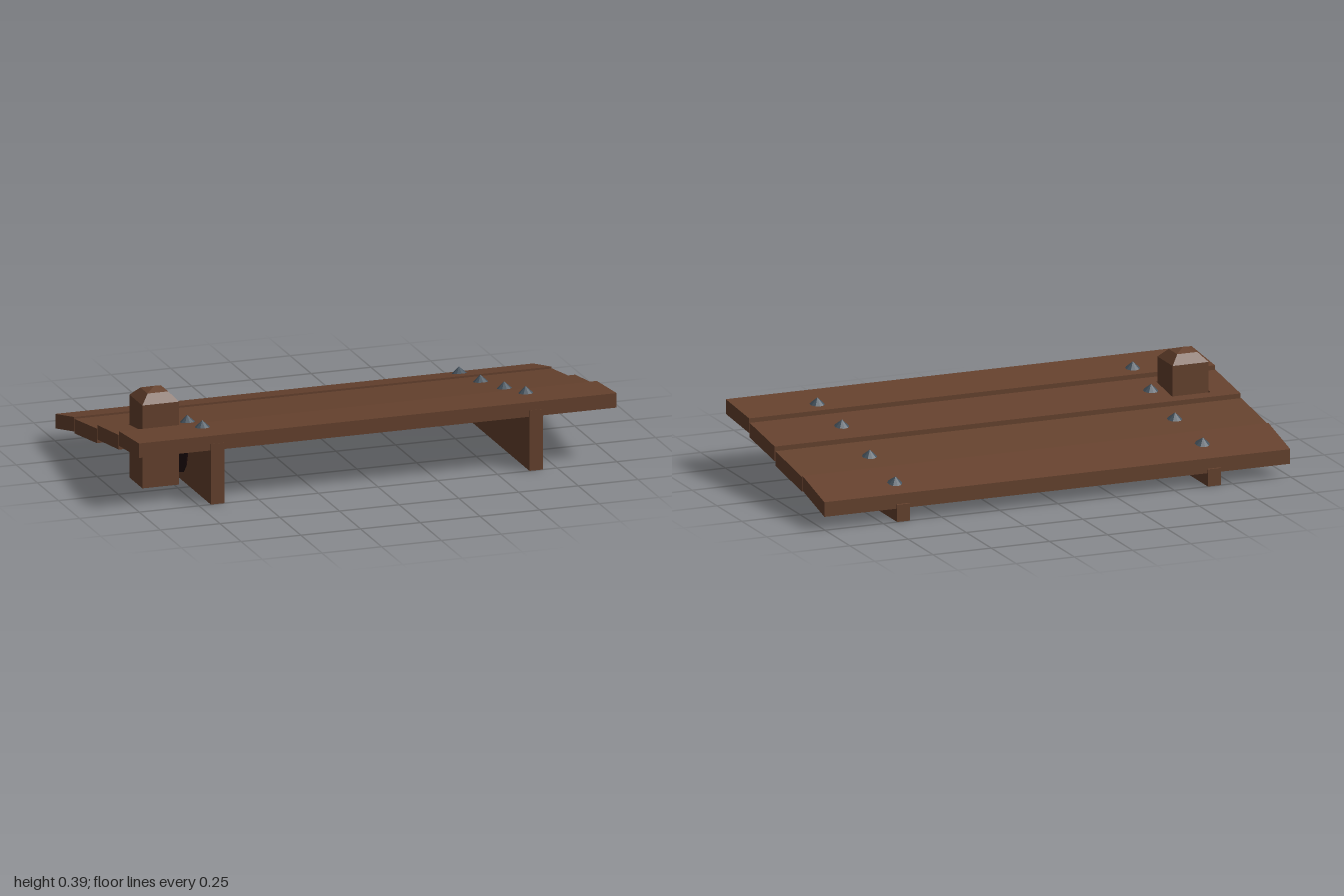
import * as THREE from 'three';

const wood = new THREE.MeshStandardMaterial({ color: 0x66422e });
wood.name = 'brownWood';
const iron = new THREE.MeshStandardMaterial({ color: 0x46535e });
iron.name = 'greyIron';
const stainRed = new THREE.MeshStandardMaterial({ color: 0x200c0e });
stainRed.name = 'darkRedStain';

// Planks: front z, back z, top height at the front, top height at the back
const PLANKS = [
  [0.497, 0.262, 0.283, 0.264],
  [0.257, 0.005, 0.247, 0.214],
  [-0.003, -0.268, 0.197, 0.159],
  [-0.274, -0.494, 0.165, 0.113],
];
const POST = { x: -0.807, z: 0.132, half: 0.077 };
const SUPPORTS = [-0.672, 0.662];
const SUPPORT_WIDTH = 0.056;
const supportTop = z => 0.16 + 0.18 * z;

function add(group, name, geometry, material) {
  const mesh = new THREE.Mesh(geometry, material);
  mesh.name = name;
  group.add(mesh);
  return mesh;
}

function rectPoints(x0, x1, y0, y1) {
  return [[x0, y0], [x1, y0], [x1, y1], [x0, y1]].map(p => new THREE.Vector2(...p));
}

// A board cut in plan, then sheared so its ends stay vertical
function plankGeometry([front, back, yFront, yBack], withHole) {
  const shape = new THREE.Shape(rectPoints(-1, 1, back, front));
  if (withHole) {
    const h = POST.half + 0.005;
    shape.holes.push(new THREE.Path(rectPoints(POST.x - h, POST.x + h, POST.z - h, POST.z + h)));
  }
  const geo = new THREE.ExtrudeGeometry(shape, { depth: 0.06, bevelEnabled: false });
  geo.rotateX(Math.PI / 2);
  const pos = geo.attributes.position;
  for (let i = 0; i < pos.count; i++) {
    const t = (pos.getZ(i) - back) / (front - back);
    pos.setY(i, pos.getY(i) + yBack + (yFront - yBack) * t);
  }
  geo.computeVertexNormals();
  return geo;
}

// A slab outlined in (z, y) and centred on x = 0
function slabGeometry(points, width) {
  const shape = new THREE.Shape(points.map(p => new THREE.Vector2(...p)));
  const geo = new THREE.ExtrudeGeometry(shape, { depth: width, bevelEnabled: false });
  geo.rotateY(-Math.PI / 2);
  geo.translate(width / 2, 0, 0);
  return geo;
}

// Lower edges of the stains, front to back; the upper edge follows the support
const STAIN_EDGES = [
  [[0.44, 0.21], [0.4, 0.2], [0.37, 0.186], [0.29, 0.18], [0.24, 0.165], [0.215, 0.08], [0.18, 0.04],
    [0.13, 0.025], [0.1, 0.06], [0.06, 0.12], [-0.02, 0.115], [-0.12, 0.095], [-0.24, 0.085],
    [-0.3, 0.065], [-0.4, 0.06], [-0.47, 0.06]],
  [[0.44, 0.21], [0.4, 0.197], [0.37, 0.186], [0.27, 0.18], [0.255, 0.155], [0.235, 0.137], [0.12, 0.133],
    [0.01, 0.13], [0.003, 0.085], [-0.02, 0.07], [-0.09, 0.063], [-0.25, 0.065], [-0.265, 0.077],
    [-0.3, 0.06], [-0.34, 0.05], [-0.44, 0.055], [-0.47, 0.06]],
];

function stainGeometry(edge) {
  const zFront = edge[0][0], zBack = edge[edge.length - 1][0];
  return slabGeometry([...edge, [zBack, supportTop(zBack)], [zFront, supportTop(zFront)]], 0.006);
}

export function createModel() {
  const model = new THREE.Group();
  model.name = 'plankPlatform';

  // Stepped planks, the second one pierced by the post
  PLANKS.forEach((p, i) => add(model, 'plank' + (i + 1), plankGeometry(p, i === 1), wood));

  // Wedge supports with stains down both faces
  SUPPORTS.forEach((x, i) => {
    const support = new THREE.Group();
    support.name = i ? 'leftSupport' : 'rightSupport';
    support.position.x = x;
    const outline = [[-0.5, 0], [0.5, 0], [0.5, supportTop(0.5)], [-0.5, supportTop(-0.5)]];
    add(support, 'supportBoard', slabGeometry(outline, SUPPORT_WIDTH), wood);
    for (const side of [-1, 1]) {
      add(support, 'stain', stainGeometry(STAIN_EDGES[i]), stainRed).position.x = side * (SUPPORT_WIDTH / 2 + 0.002);
    }
    model.add(support);
  });

  // Square post with a two-stage chamfered cap
  const r = Math.SQRT2;
  const profile = [[0, 0], [POST.half * r, 0], [POST.half * r, 0.343], [0.043 * r, 0.379], [0, 0.394]];
  const postGeo = new THREE.LatheGeometry(profile.map(p => new THREE.Vector2(...p)), 4, Math.PI / 4).toNonIndexed();
  postGeo.computeVertexNormals();
  add(model, 'post', postGeo, wood).position.set(POST.x, 0, POST.z);

  // Pointed nail heads, tilted with the plank below
  const nails = [
    [[-0.677, 0.333], [-0.668, 0.13], [-0.662, -0.125], [-0.673, -0.378]],
    [[0.677, 0.333], [0.66, 0.127], [0.658, -0.148], [0.66, -0.408]],
  ];
  const nailGeo = new THREE.ConeGeometry(0.037, 0.034, 10).toNonIndexed();
  nailGeo.computeVertexNormals();
  for (const row of nails) {
    row.forEach(([x, z], i) => {
      const [front, back, yFront, yBack] = PLANKS[i];
      const slope = (yFront - yBack) / (front - back);
      const nail = add(model, 'nailHead', nailGeo, iron);
      nail.position.set(x, yBack + slope * (z - back) + 0.011, z);
      nail.rotation.x = -Math.atan(slope);
    });
  }
  return model;
}
